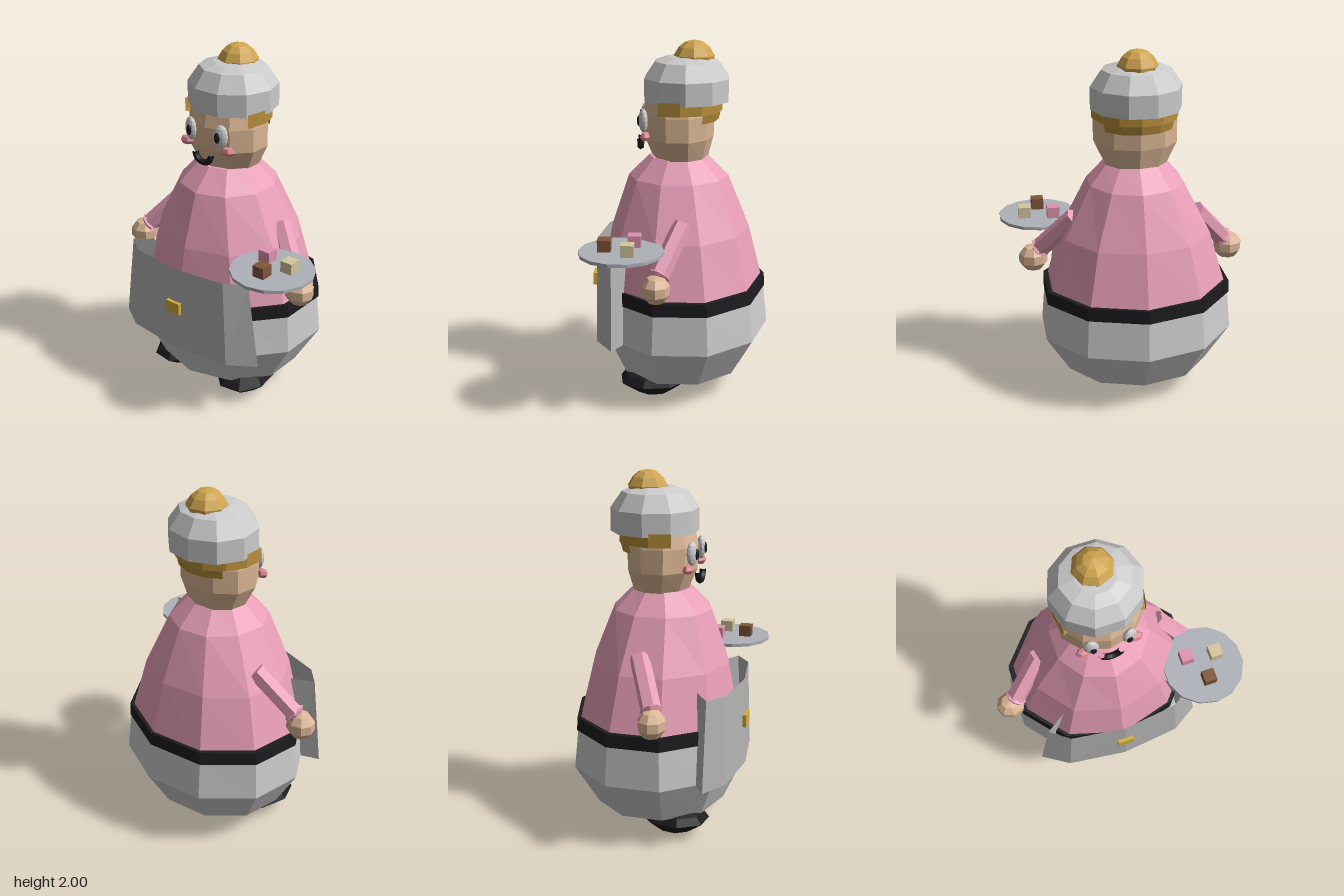
import * as THREE from 'three';

const mat = (color, side = THREE.FrontSide) =>
  new THREE.MeshStandardMaterial({ color, flatShading: true, side });

const GREY = mat(0xcccccc), PINK = mat(0xe89fb8), BLACK = mat(0x1c1c1f), SKIN = mat(0xdcb795);
const GOLD = mat(0xcfa44e), WHITE = mat(0xe6e6e6), BLUSH = mat(0xe08890);
const HAIR = mat(0xb98f3c, THREE.DoubleSide), CLOTH = mat(0xb4b4b4, THREE.DoubleSide);

export function createModel() {
  const model = new THREE.Group();
  model.name = 'cook';
  // The figure itself is mirrored about x = -0.05; the tray reaches out on the other side.
  const figure = new THREE.Group();
  figure.name = 'figure';
  figure.position.x = -0.05;
  model.add(figure);

  const add = (name, geometry, material, pos = [0, 0, 0], parent = figure) => {
    const mesh = new THREE.Mesh(geometry, material);
    mesh.name = name;
    mesh.position.set(...pos);
    parent.add(mesh);
    return mesh;
  };

  // Faceted ring stack; each ring is [y, radius in x, radius in z, centre z]
  const stack = (rings, sides, start = 0, arc = Math.PI * 2) => {
    const geo = new THREE.LatheGeometry(rings.map((r) => new THREE.Vector2(1, r[0])), sides, start, arc);
    const p = geo.attributes.position;
    for (let i = 0; i < p.count; i++) {
      const [, rx, rz, cz = 0] = rings[i % rings.length];
      p.setXYZ(i, p.getX(i) * rx, p.getY(i), p.getZ(i) * rz + cz);
    }
    geo.computeVertexNormals();
    return geo;
  };
  const ball = (rx, ry, rz, w, h) => new THREE.SphereGeometry(1, w, h).scale(rx, ry, rz);

  // Round body: skirt, belt and dress
  add('skirt', stack([[0.135, 0, 0, -0.01], [0.135, 0.42, 0.37, -0.01], [0.365, 0.56, 0.49, -0.025],
    [0.59, 0.54, 0.465, -0.025]], 10), GREY);
  add('belt', stack([[0.585, 0.5, 0.43, -0.025], [0.585, 0.548, 0.472, -0.025],
    [0.66, 0.545, 0.468, -0.025], [0.66, 0.5, 0.43, -0.025]], 10), BLACK);
  add('dress', stack([[0.65, 0.52, 0.456, -0.02], [0.95, 0.43, 0.39, -0.01], [1.245, 0.275, 0.28, 0],
    [1.36, 0.172, 0.165, 0], [1.365, 0, 0, 0]], 10), PINK);

  // Head, hair and hat
  add('head', stack([[1.355, 0, 0], [1.355, 0.178, 0.155, -0.01], [1.47, 0.236, 0.195], [1.6, 0.236, 0.2],
    [1.72, 0.21, 0.17], [1.72, 0, 0]], 10), SKIN);
  add('hair', stack([[1.615, 0.2, 0.2], [1.615, 0.242, 0.242], [1.69, 0.242, 0.242]],
    8, Math.PI * 0.36, Math.PI * 1.28), HAIR);
  add('hairNape', stack([[1.565, 0.18, 0.17], [1.565, 0.225, 0.222], [1.62, 0.236, 0.236]],
    4, Math.PI * 0.7, Math.PI * 0.6), HAIR);
  add('hat', stack([[1.67, 0, 0], [1.67, 0.252, 0.242], [1.795, 0.252, 0.242], [1.885, 0.19, 0.18],
    [1.91, 0.11, 0.11], [1.915, 0, 0]], 10, Math.PI / 10), GREY, [0, 0, -0.045]);
  add('pompom', stack([[1.895, 0.11, 0.11], [1.915, 0.112, 0.112], [1.96, 0.085, 0.085],
    [1.988, 0.05, 0.05], [2, 0, 0]], 8), GOLD, [0, 0, -0.085]);

  // Smile
  add('mouth', new THREE.TorusGeometry(0.055, 0.018, 6, 10, Math.PI), BLACK, [0, 1.46, 0.212])
    .rotation.z = Math.PI;

  // Parts on both sides
  for (const s of [1, -1]) {
    const side = s > 0 ? 'left' : 'right';

    add(side + 'Eye', ball(0.042, 0.066, 0.025, 12, 8), WHITE, [s * 0.104, 1.57, 0.19]).rotation.y = s * 0.3;
    add(side + 'Pupil', ball(0.018, 0.031, 0.012, 10, 6), BLACK, [s * 0.098, 1.568, 0.213]).rotation.y = s * 0.3;
    add(side + 'Cheek', ball(0.044, 0.027, 0.03, 6, 4), BLUSH, [s * 0.142, 1.49, 0.178]);

    // Sloping sleeve with a ruffled cuff, and the hand
    const top = new THREE.Vector3(s * 0.345, 1.05, -0.035);
    const wrist = new THREE.Vector3(s * 0.535, 0.825, 0.085);
    const dir = wrist.clone().sub(top);
    const sleeve = add(side + 'Sleeve', new THREE.CylinderGeometry(0.055, 0.055, dir.length(), 6), PINK,
      top.clone().add(wrist).multiplyScalar(0.5).toArray());
    sleeve.quaternion.setFromUnitVectors(new THREE.Vector3(0, 1, 0), dir.clone().normalize());
    const cuff = add(side + 'Cuff', new THREE.TorusGeometry(0.045, 0.018, 4, 8), PINK, wrist.toArray());
    cuff.quaternion.setFromUnitVectors(new THREE.Vector3(0, 0, 1), dir.clone().normalize());
    add(side + 'Hand', ball(0.086, 0.082, 0.078, 8, 5), SKIN, [s * 0.575, 0.763, 0.098]);

    // Pebble-like shoe
    add(side + 'Shoe', stack([[0, 0, 0], [0.025, 0.085, 0.1], [0.095, 0.16, 0.2], [0.135, 0.135, 0.17],
      [0.165, 0.06, 0.1], [0.168, 0, 0]], 8, Math.PI / 8), BLACK, [s * 0.233, 0, 0.132]).rotation.y = s * 0.15;
  }

  // Apron: a folded sheet between an upper and a lower outline
  const upper = [[0, 0.47], [0.31, 0.43], [0.42, 0.35], [0.3, 0.27]];
  const lower = [[0, 0.485], [0.34, 0.445], [0.49, 0.35], [0.39, 0.29]];
  const mirrored = (half) => [...half.slice(1).reverse().map(([x, z]) => [-x, z]), ...half];
  const up = mirrored(upper), low = mirrored(lower);
  const verts = [], index = [];
  up.forEach(([x, z], i) => {
    verts.push(low[i][0], 0.365, low[i][1], x, 0.86, z);
    if (i) {
      const a = 2 * (i - 1);
      index.push(a, a + 2, a + 3, a, a + 3, a + 1);
    }
  });
  const sheet = new THREE.BufferGeometry();
  sheet.setAttribute('position', new THREE.Float32BufferAttribute(verts, 3));
  sheet.setIndex(index);
  sheet.computeVertexNormals();
  add('apron', sheet, CLOTH);
  add('buckle', new THREE.BoxGeometry(0.092, 0.07, 0.04), mat(0xd4ae3c), [0, 0.625, 0.473]);

  // Tray with three little cakes
  const tray = new THREE.Group();
  tray.name = 'tray';
  tray.position.set(0.477, 0.953, 0.282);
  model.add(tray);
  add('plate', new THREE.CylinderGeometry(0.228, 0.228, 0.018, 14), mat(0xaeb2b9), [0, 0, 0], tray);
  [['pinkCake', 0xdf93ae, -0.082, -0.065], ['creamCake', 0xd6c79f, 0.082, -0.04],
    ['brownCake', 0x80563c, -0.002, 0.088]].forEach(([name, color, x, z]) =>
    add(name, new THREE.BoxGeometry(0.07, 0.065, 0.07), mat(color), [x, 0.04, z], tray));

  return model;
}
